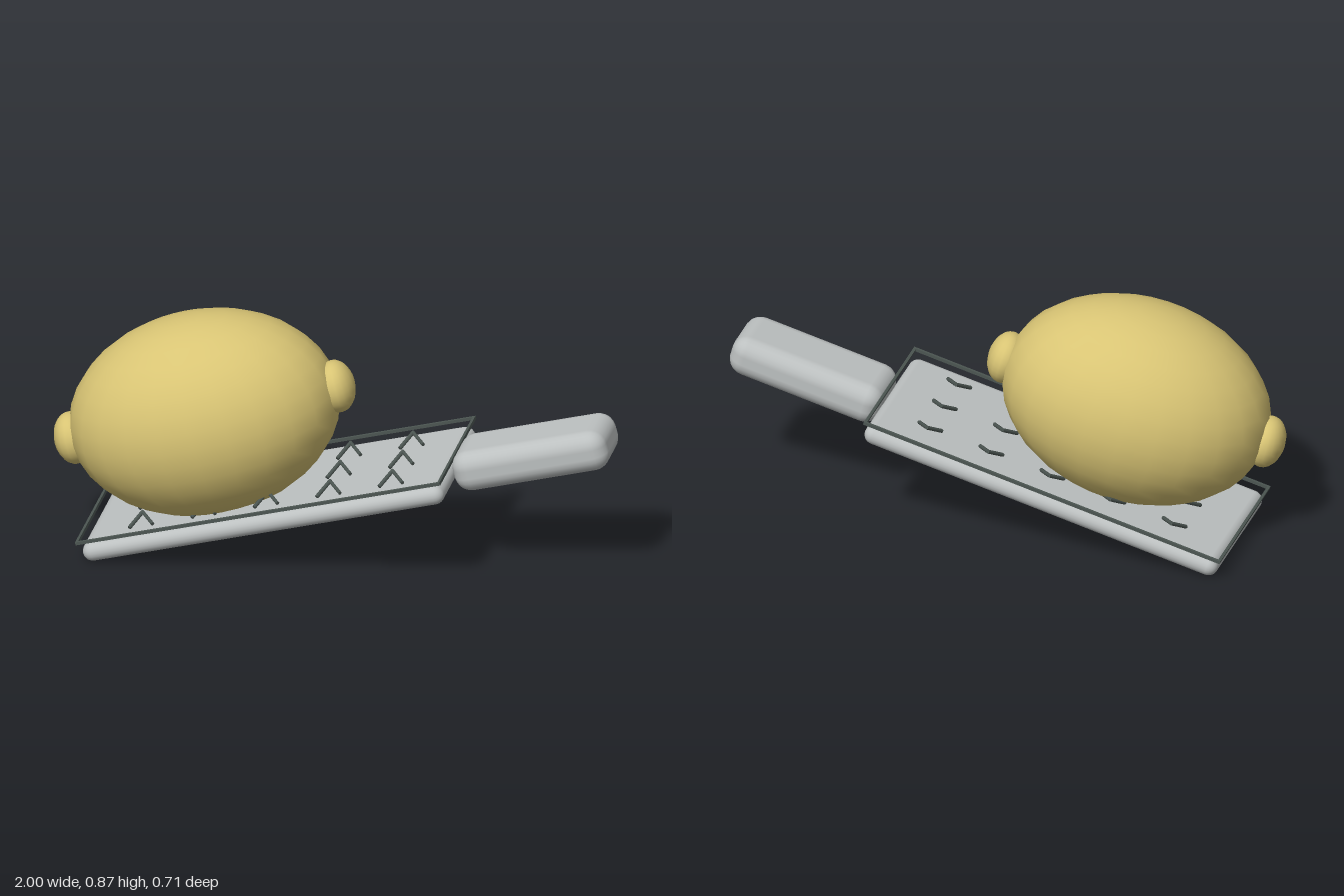
import * as THREE from 'three';
import { RoundedBoxGeometry } from 'three/addons/geometries/RoundedBoxGeometry.js';

export function createModel() {
  const model = new THREE.Group();
  model.name = 'lemonOnGrater';

  const mat = (name, color) => {
    const m = new THREE.MeshStandardMaterial({ color });
    m.name = name;
    return m;
  };
  const steel = mat('steel', 0xbcc0c0);
  const darkSteel = mat('darkSteel', 0x4c5652);
  const peel = mat('lemonPeel', 0xd8c474);

  const add = (parent, name, geometry, material, x = 0, y = 0, z = 0) => {
    const mesh = new THREE.Mesh(geometry, material);
    mesh.name = name;
    mesh.position.set(x, y, z);
    parent.add(mesh);
    return mesh;
  };

  // Grater, tilted as a whole
  const grater = new THREE.Group();
  grater.name = 'grater';
  grater.position.set(-0.204, 0.2, -0.025);
  grater.rotation.z = THREE.MathUtils.degToRad(15);
  model.add(grater);

  add(grater, 'plate', new RoundedBoxGeometry(1.345, 0.07, 0.59, 3, 0.035), steel);
  add(grater, 'handle', new RoundedBoxGeometry(0.573, 0.15, 0.26, 3, 0.06), steel, 0.955, 0, 0);

  // Thin wire frame hovering above the plate rim
  for (const s of [-1, 1]) {
    add(grater, 'frameSide', new THREE.BoxGeometry(1.36, 0.011, 0.01), darkSteel, 0, 0.051, s * 0.296);
    add(grater, 'frameEnd', new THREE.BoxGeometry(0.01, 0.011, 0.6), darkSteel, s * 0.675, 0.051, 0);
  }

  // Raised V-shaped teeth, five columns by three rows
  const apex = new THREE.Vector3(0, 0.07, -0.03);
  const up = new THREE.Vector3(0, 1, 0);
  for (let col = -2; col <= 2; col++) {
    for (let row = -1; row <= 1; row++) {
      const tooth = new THREE.Group();
      tooth.name = 'tooth';
      tooth.position.set(0.007 + col * 0.233, 0, row * 0.172);
      grater.add(tooth);
      for (const s of [-1, 1]) {
        const arm = new THREE.Vector3(s * 0.042, 0.043, 0.03).sub(apex);
        const bar = add(tooth, 'toothArm', new THREE.CylinderGeometry(0.007, 0.007, arm.length() + 0.006, 6), darkSteel);
        bar.position.copy(apex).addScaledVector(arm, 0.5);
        bar.quaternion.setFromUnitVectors(up, arm.normalize());
      }
    }
  }

  // Lemon: long body with a flattened nub at each end
  const lemon = new THREE.Group();
  lemon.name = 'lemon';
  lemon.position.set(-0.468, 0.5, -0.003);
  lemon.quaternion.setFromUnitVectors(
    new THREE.Vector3(1, 0, 0),
    new THREE.Vector3(0.962, 0.25, -0.103).normalize()
  );
  model.add(lemon);
  add(lemon, 'lemonBody', new THREE.SphereGeometry(1, 24, 18), peel).scale.set(0.486, 0.364, 0.357);
  for (const s of [-1, 1]) {
    add(lemon, 'lemonTip', new THREE.SphereGeometry(1, 18, 14), peel, s * 0.482, 0, 0).scale.set(0.066, 0.094, 0.094);
  }

  return model;
}
